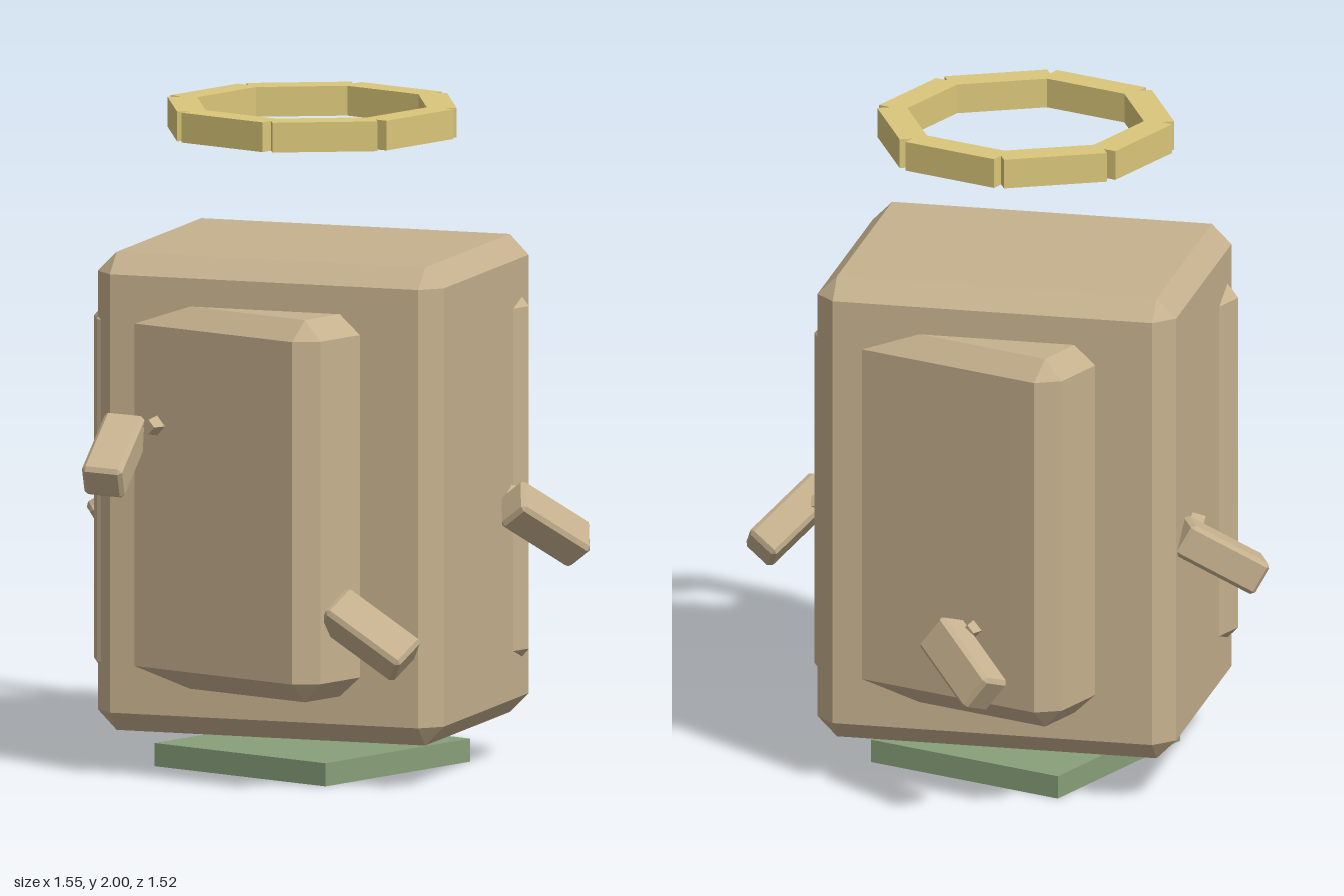
import * as THREE from 'three';
import { ConvexGeometry } from 'three/addons/geometries/ConvexGeometry.js';

const V = (x, y, z) => new THREE.Vector3(x, y, z);

// Box with every edge cut by a flat chamfer
function chamferBox(w, h, d, c) {
  const pts = [];
  for (const sx of [-1, 1]) for (const sy of [-1, 1]) for (const sz of [-1, 1]) {
    const x = w / 2, y = h / 2, z = d / 2;
    pts.push(V(sx * x, sy * (y - c), sz * (z - c)));
    pts.push(V(sx * (x - c), sy * y, sz * (z - c)));
    pts.push(V(sx * (x - c), sy * (y - c), sz * z));
  }
  return new ConvexGeometry(pts);
}

export function createModel() {
  const tan = new THREE.MeshStandardMaterial({ name: 'tan', color: 0xc6b18e });
  const gold = new THREE.MeshStandardMaterial({ name: 'gold', color: 0xdac67a });
  const green = new THREE.MeshStandardMaterial({ name: 'green', color: 0x88a07a });
  const model = new THREE.Group();
  const add = (name, geometry, material, x, y, z, parent = model) => {
    const m = new THREE.Mesh(geometry, material);
    m.name = name;
    m.position.set(x, y, z);
    parent.add(m);
    return m;
  };

  // Two crossing body blocks
  add('mainBody', chamferBox(0.87, 1.445, 1.1, 0.06), tan, 0.035, 0.8525, 0.08)
    .rotation.y = THREE.MathUtils.degToRad(20);
  add('crossBody', chamferBox(1.095, 1.155, 0.88, 0.06), tan, 0.033, 0.8525, 0.075);

  // Base plate
  add('basePlate', new THREE.BoxGeometry(0.675, 0.07, 0.665), green, 0.033, 0.035, 0.078);

  // Floating ring of eight bars
  const ring = new THREE.Group();
  ring.name = 'ring';
  ring.position.set(0.033, 1.955, 0.077);
  model.add(ring);
  const bar = new THREE.BoxGeometry(0.315, 0.09, 0.088);
  for (let i = 0; i < 8; i++) {
    const t = i * Math.PI / 4;
    add('ringBar', bar, gold, Math.sin(t) * 0.376, 0, Math.cos(t) * 0.376, ring).rotation.y = t;
  }

  // Drooping pegs: centre, long axis, side axis, then stub position and its outward direction
  const pegs = [
    ['frontLeftPeg', V(0.428, 0.735, 0.658), V(0.225, -0.15, 0.085), V(0.08, 0.08, -0.07), V(0.43, 0.81, 0.54), V(0.34, 0, 0.94)],
    ['leftPeg', V(0.68, 0.483, -0.117), V(0.09, -0.145, -0.225), V(0.024, -0.117, 0.085), V(0.58, 0.56, -0.09), V(1, 0, 0)],
    ['backPeg', V(0.048, 0.742, -0.622), V(-0.17, -0.145, -0.17), V(0.085, 0, -0.085), V(0, 0.81, -0.5), V(-0.34, 0, -0.94)],
    ['rightPeg', V(-0.62, 0.985, -0.148), V(-0.225, -0.145, 0.09), V(0.05, -0.005, 0.105), V(-0.52, 1.07, -0.07), V(-1, 0, 0)],
    ['frontRightPeg', V(-0.345, 0.482, 0.617), V(0.085, -0.155, 0.22), V(0.11, 0.07, 0.005), V(-0.28, 0.55, 0.51), V(0, 0, 1)],
  ];
  const pegGeo = chamferBox(0.28, 0.125, 0.108, 0.012);
  const stubGeo = new THREE.CylinderGeometry(0.022, 0.036, 0.07, 4).toNonIndexed();
  stubGeo.computeVertexNormals();
  for (const [name, centre, axis, side, stubAt, out] of pegs) {
    const a = axis.normalize();
    const c = a.clone().cross(side).normalize();
    const b = c.clone().cross(a);
    add(name, pegGeo, tan, centre.x, centre.y, centre.z)
      .quaternion.setFromRotationMatrix(new THREE.Matrix4().makeBasis(a, b, c));
    add(name + 'Stub', stubGeo, tan, stubAt.x, stubAt.y, stubAt.z)
      .quaternion.setFromUnitVectors(V(0, 1, 0), out.normalize());
  }
  return model;
}
